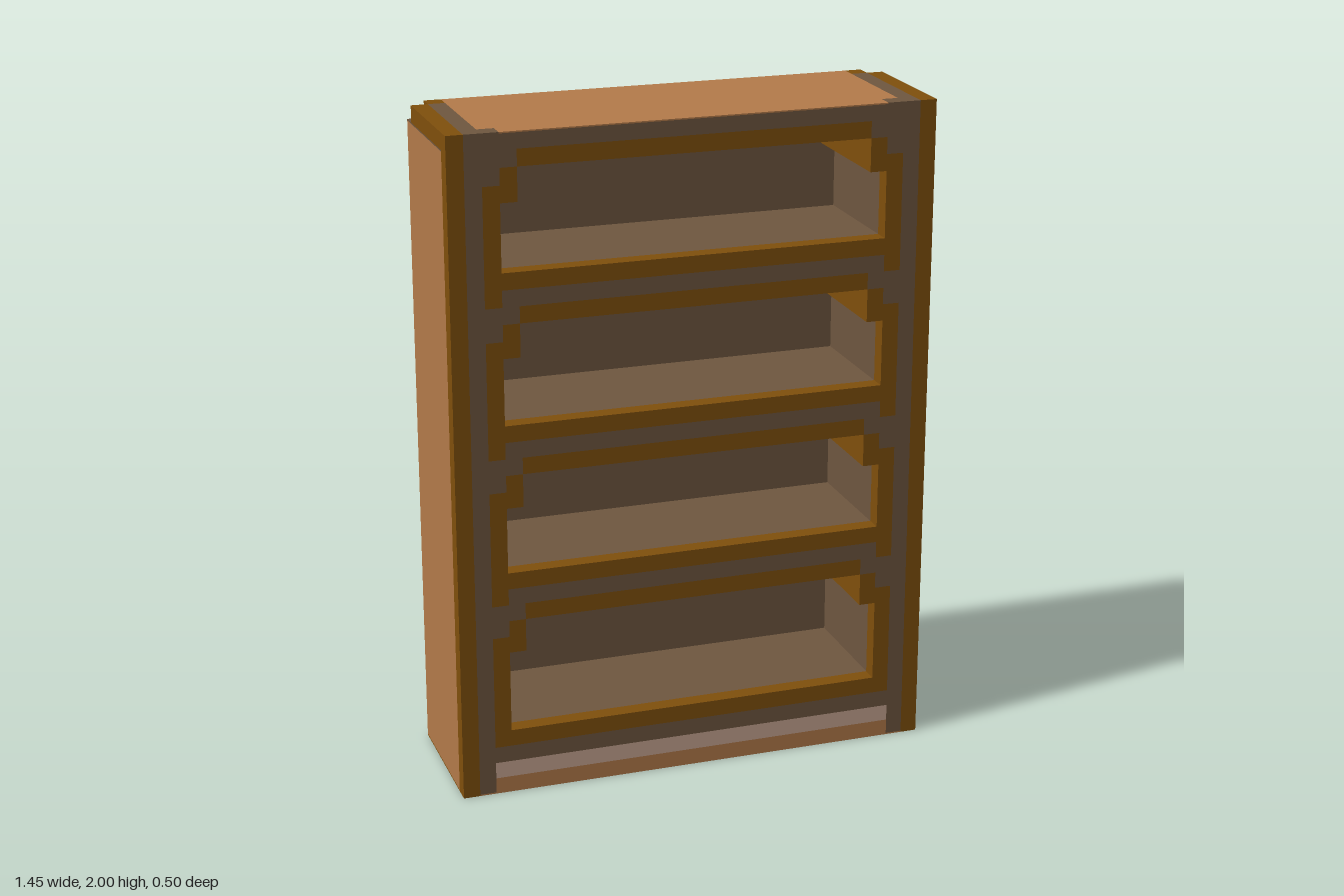
import * as THREE from 'three';

const mat = (name, color) => {
  const m = new THREE.MeshStandardMaterial({ color });
  m.name = name;
  return m;
};

export function createModel() {
  const copper = mat('copper wood', 0xb47b4a);
  const grey = mat('grey brown wood', 0x6f5740);
  const gold = mat('golden trim', 0x80500c);
  const cream = mat('pale strip', 0xc8a592);
  const model = new THREE.Group();
  model.name = 'bookcase';
  const T = 0.004; // thickness of painted plates

  // Box given by its extents on each axis
  function box(name, m, x0, x1, y0, y1, z0, z1) {
    const mesh = new THREE.Mesh(new THREE.BoxGeometry(x1 - x0, y1 - y0, z1 - z0), m);
    mesh.position.set((x0 + x1) / 2, (y0 + y1) / 2, (z0 + z1) / 2);
    mesh.name = name;
    model.add(mesh);
  }
  // Same box on both sides of x = 0
  function pair(name, m, x0, x1, ...rest) {
    box(name + 'Left', m, x0, x1, ...rest);
    box(name + 'Right', m, -x1, -x0, ...rest);
  }
  // Right half outline, bottom to top, mirrored into a closed loop
  const loop = (half) => [...half, ...half.slice().reverse().map(([x, y]) => [-x, y])]
    .map(([x, y]) => new THREE.Vector2(x, y));
  // Front layer, z 0.2 to 0.25
  function facing(name, m, outline, holes) {
    const shape = new THREE.Shape(outline);
    holes.forEach((h) => shape.holes.push(new THREE.Path(h)));
    const mesh = new THREE.Mesh(new THREE.ExtrudeGeometry(shape, { depth: 0.05, bevelEnabled: false }), m);
    mesh.position.z = 0.2;
    mesh.name = name;
    model.add(mesh);
  }

  // Compartments: bottom, top and how far the trim legs hang below
  const bays = [[0.2, 0.55, 0], [0.7, 1.0, 0.05], [1.15, 1.45, 0.05], [1.6, 1.9, 0.05]];
  const trimOutlines = [];
  bays.forEach(([b, t, leg], i) => {
    const foot = leg
      ? [[0.575, b - 0.05], [0.575, b - 0.1], [0.625, b - 0.1]]
      : [[0.625, b - 0.05]];
    const outer = loop([...foot, [0.625, t - 0.05], [0.575, t - 0.05], [0.575, t], [0.525, t], [0.525, t + 0.05]]);
    const opening = loop([[0.575, b], [0.575, t - 0.1], [0.525, t - 0.1], [0.525, t]]);
    trimOutlines.push(outer);
    facing('openingTrim' + i, gold, outer, [opening]);
    // Stepped corners running back into the compartment
    pair('cornerBlock' + i, gold, 0.525, 0.575, t - 0.1, t, -0.15, 0.2);
    // Shelf under the compartment
    box('shelf' + i, grey, -0.575, 0.575, i ? bays[i - 1][1] : T, b, -0.15, 0.2);
  });

  // Front frame and plinth
  facing('frontFrame', grey,
    loop([[0.625, 0.1], [0.625, T], [0.675, T], [0.675, 2 - T]]), trimOutlines);
  box('plinthStrip', cream, -0.625, 0.625, 0.05, 0.1, 0.2, 0.25);
  box('plinthBase', copper, -0.625, 0.625, T, 0.05, 0.2, 0.25);

  // Side walls with gold post and rail
  pair('sidePanel', copper, 0.675, 0.725, T, 1.95 - T, -0.2, 0.2);
  pair('sidePanelCap', grey, 0.675, 0.725, 1.95 - T, 1.95, -0.2, 0.2);
  pair('frontPost', gold, 0.675, 0.725, T, 2, 0.2, 0.25);
  pair('sideRail', gold, 0.675, 0.725, 1.95, 2, -0.15, 0.2);
  pair('sideFoot', gold, 0.675, 0.725, 0, T, -0.2, 0.25);
  pair('innerWall', grey, 0.575, 0.675, T, 2 - T, -0.15, 0.2);
  pair('topEdge', grey, 0.625, 0.675, 2 - T, 2, -0.15, 0.25);
  pair('backCorner', gold, 0.625, 0.675, 1.95, 2, -0.2, -0.15);

  // Top
  box('topBoard', grey, -0.575, 0.575, 1.9, 2 - T, -0.15, 0.2);
  box('topSurface', copper, -0.575, 0.575, 2 - T, 2, -0.15, 0.25);
  pair('topSurfaceEnd', copper, 0.575, 0.625, 2 - T, 2, -0.15, 0.2);
  pair('topFrontCorner', grey, 0.575, 0.625, 2 - T, 2, 0.2, 0.25);
  box('backRail', copper, -0.625, 0.625, 1.95, 2, -0.2, -0.15);

  // Back and underside
  box('backLining', grey, -0.675, 0.675, T, 1.95, -0.2, -0.15);
  box('backPanel', copper, -0.675, 0.675, T, 1.95 - T, -0.25, -0.2);
  box('backPanelCap', grey, -0.625, 0.625, 1.95 - T, 1.95, -0.25, -0.2);
  pair('backPanelCapEnd', gold, 0.625, 0.675, 1.95 - T, 1.95, -0.25, -0.2);
  box('underside', copper, -0.675, 0.675, 0, T, -0.25, 0.25);

  return model;
}
